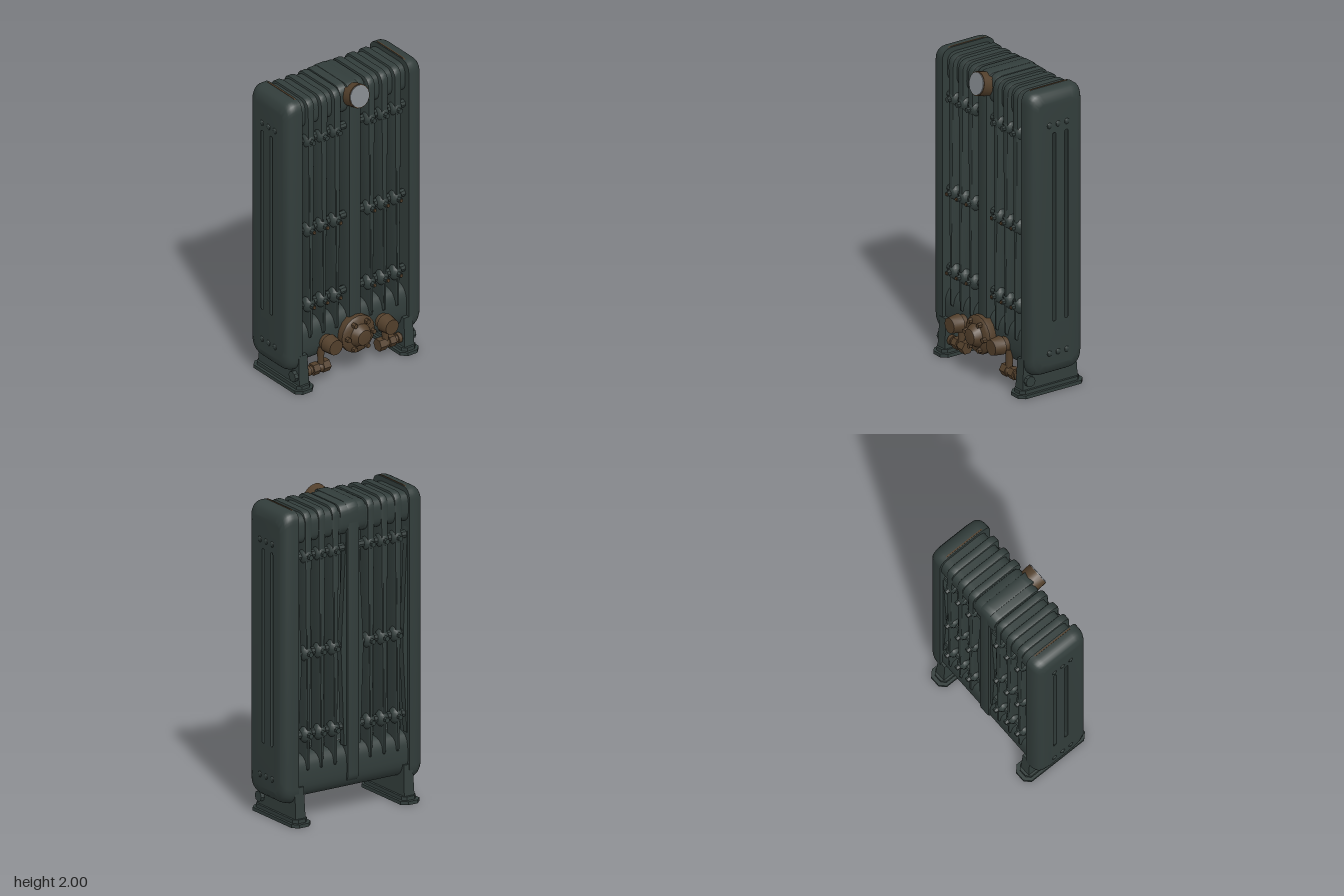
import * as THREE from 'three';
import { toCreasedNormals } from 'three/addons/utils/BufferGeometryUtils.js';

const mat = (name, color) => Object.assign(new THREE.MeshStandardMaterial({ color }), { name });

// Rounded rectangle; a runs from front (-z) to back, b is height
function roundRect(T, a0, b0, a1, b1, rBottom, rTop = rBottom) {
  const s = new T();
  s.moveTo(a0 + rBottom, b0);
  s.lineTo(a1 - rBottom, b0);
  s.quadraticCurveTo(a1, b0, a1, b0 + rBottom);
  s.lineTo(a1, b1 - rTop);
  s.quadraticCurveTo(a1, b1, a1 - rTop, b1);
  s.lineTo(a0 + rTop, b1);
  s.quadraticCurveTo(a0, b1, a0, b1 - rTop);
  s.lineTo(a0, b0 + rBottom);
  s.quadraticCurveTo(a0, b0, a0 + rBottom, b0);
  return s;
}

// Extrude a side profile along x, centred on x = 0
function acrossX(shape, width, bevel = 0, steps = 1) {
  const depth = width - 2 * bevel;
  const g = new THREE.ExtrudeGeometry(shape, {
    depth, steps, curveSegments: 6, bevelEnabled: bevel > 0, bevelThickness: bevel,
    bevelSize: bevel, bevelOffset: -bevel, bevelSegments: 2,
  });
  return g.translate(0, 0, -depth / 2).rotateY(Math.PI / 2);
}

// Section profile with two long slots between three columns
function sectionShape(y0, y1, front, back, rBottom, rTop) {
  const s = roundRect(THREE.Shape, -front, y0, back, y1, rBottom, rTop);
  for (const [a, b] of [[-0.03, 0.005], [0.09, 0.122]])
    s.holes.push(roundRect(THREE.Path, a, 0.44, b, 1.78, 0.015));
  return s;
}

// Move each vertex by a rule
function reshape(g, rule) {
  const p = g.attributes.position, v = new THREE.Vector3();
  for (let i = 0; i < p.count; i++) {
    rule(v.fromBufferAttribute(p, i));
    p.setXYZ(i, v.x, v.y, v.z);
  }
  return g;
}

export function createModel() {
  const iron = mat('castIron', 0x323d3b);
  const bronze = mat('bronze', 0x523f2b);
  const grey = mat('paleMetal', 0x80858a);
  const root = new THREE.Group();
  root.name = 'radiator';

  const add = (name, geo, material, x = 0, y = 0, z = 0, parent = root) => {
    const m = new THREE.Mesh(toCreasedNormals(geo, 0.7), material);
    m.name = name;
    m.position.set(x, y, z);
    parent.add(m);
    return m;
  };
  const cyl = (r0, r1, h, n = 12) => new THREE.CylinderGeometry(r0, r1, h, n);
  const alongZ = (r0, r1, h, n) => cyl(r0, r1, h, n).rotateX(Math.PI / 2);
  const alongX = (r0, r1, h, n) => cyl(r0, r1, h, n).rotateZ(Math.PI / 2);

  // Headers joining all sections
  add('topHeader', acrossX(roundRect(THREE.Shape, -0.135, 1.78, 0.21, 1.97, 0.07), 0.86), iron);
  add('topHeaderCentre', acrossX(roundRect(THREE.Shape, -0.145, 1.79, 0.217, 1.985, 0.07), 0.2, 0.02), iron);
  add('bottomHeader', acrossX(roundRect(THREE.Shape, -0.15, 0.15, 0.205, 0.445, 0.12), 0.86), iron);

  // Inner sections, pinched to a point at the bottom
  const finX = [-0.33, -0.23, -0.13, 0.13, 0.23, 0.33];
  for (const x of finX) {
    const g = acrossX(sectionShape(0.33, 1.985, 0.165, 0.215, 0.03, 0.07), 0.052, 0.01);
    reshape(g, v => { if (v.y < 0.42) v.x *= 0.35; });
    add('innerSection', g, iron, x);
  }
  add('centreSection', acrossX(sectionShape(0.2, 1.99, 0.17, 0.217, 0.06, 0.07), 0.088, 0.012), iron);

  // Widened webs on the back columns
  const web = (name, pts) => add(name, new THREE.ExtrudeGeometry(
    new THREE.Shape(pts.map(p => new THREE.Vector2(...p))),
    { depth: 0.04, bevelEnabled: false }), iron, 0, 0, -0.2);
  web('centreBackWeb', [[-0.06, 0.44], [0.06, 0.44], [0.082, 1.05], [0.045, 1.8], [-0.045, 1.8], [-0.082, 1.05]]);
  web('leftBackWeb', [[0.42, 0.44], [0.42, 1.8], [0.405, 1.75], [0.372, 1.0], [0.4, 0.44]]);
  web('rightBackWeb', [[-0.42, 0.44], [-0.4, 0.44], [-0.372, 1.0], [-0.405, 1.75], [-0.42, 1.8]]);

  // Tie rods with bosses and bolts
  for (const y of [1.7, 1.08, 0.56]) {
    for (const z of [0.115, 0.01, -0.17])
      add('tieRod', alongX(0.026, 0.026, 0.84, 8), iron, 0, y, z);
    for (const x of finX) {
      for (const [z, dir] of [[0.13, 1], [-0.18, -1]]) {
        add('boss', new THREE.SphereGeometry(1, 10, 6).scale(0.042, 0.055, 0.045), iron, x, y, z);
        const brass = dir > 0 && y < 1.5;
        add('boltHead', alongZ(0.017, 0.017, 0.05, 6), iron, x, y, z + dir * 0.038);
        if (brass) add('boltTip', alongZ(0.011, 0.011, 0.008, 6), bronze, x, y, z + 0.066);
      }
    }
  }

  for (const side of [-1, 1]) {
    // End section, its outer face drawn in with a rounded shoulder
    const g = acrossX(sectionShape(0.13, 2, 0.172, 0.222, 0.1, 0.075), 0.11, 0, 8);
    reshape(g, v => {
      const u = Math.min(1, Math.max(0, (side * v.x + 0.02) / 0.075));
      const k = 1 - Math.sqrt(1 - u * u);
      v.y = 1.065 + (v.y - 1.065) * (1 - 0.075 * k);
      v.z = -0.025 + (v.z + 0.025) * (1 - 0.24 * k);
    });
    add('endSection', g, iron, side * 0.46);
    const band = roundRect(THREE.Shape, -0.165, 1.86, 0.213, 2.003, 0.02, 0.08);
    add('seamBand', acrossX(band, 0.008), bronze, side * 0.417);

    // Side bolts
    for (const y of [0.28, 1.78])
      for (const z of [0.04, -0.025, -0.09])
        add('sideBolt', new THREE.SphereGeometry(0.022, 8, 6).scale(0.7, 1, 1), iron, side * 0.508, y, z);

    // Foot: clipped base plate, step and tapered leg
    const foot = new THREE.Group();
    foot.name = 'foot';
    foot.position.x = side * 0.4;
    root.add(foot);
    const plate = (w, zf, zb, c) => new THREE.Shape([
      [-w, -zf + c], [-w + c, -zf], [w - c, -zf], [w, -zf + c],
      [w, zb - c], [w - c, zb], [-w + c, zb], [-w, zb - c],
    ].map(p => new THREE.Vector2(...p)));
    const flat = (shape, h) => new THREE.ExtrudeGeometry(shape, { depth: h, bevelEnabled: false })
      .rotateX(-Math.PI / 2).scale(1, 1, 1);
    // plan y maps to -z, so the front edge is at +z
    add('basePlate', flat(plate(0.07, 0.218, 0.268, 0.035), 0.022), iron, 0, 0, 0, foot);
    add('baseStep', flat(plate(0.052, 0.2, 0.245, 0.025), 0.025), iron, 0, 0.02, 0, foot);
    const leg = reshape(new THREE.BoxGeometry(0.075, 0.2, 0.39), v => {
      if (v.y < 0) v.z *= 1.06;
      else v.x *= 0.85;
    });
    add('leg', leg, iron, 0, 0.14, -0.022, foot);
    add('legBolt', alongX(0.035, 0.035, 0.03, 8), iron, side * 0.045, 0.1, 0.14, foot);

    // Bronze valve: round cap, drop pipe and horizontal union
    const valve = new THREE.Group();
    valve.name = 'valve';
    root.add(valve);
    add('valveNeck', alongZ(0.048, 0.048, 0.08, 12), bronze, side * 0.213, 0.27, 0.16, valve);
    add('valveCap', alongZ(0.05, 0.06, 0.075, 12), bronze, side * 0.213, 0.27, 0.222, valve);
    add('dropPipe', cyl(0.024, 0.02, 0.15, 10), bronze, side * 0.245, 0.17, 0.145, valve);
    add('elbow', new THREE.SphereGeometry(0.036, 10, 8), bronze, side * 0.245, 0.1, 0.14, valve);
    add('unionPipe', alongX(0.026, 0.026, 0.17, 10), bronze, side * 0.285, 0.1, 0.14, valve);
    add('innerNut', alongX(0.042, 0.042, 0.05, 6), bronze, side * 0.215, 0.1, 0.14, valve);
    add('middleNut', alongX(0.04, 0.04, 0.045, 6), bronze, side * 0.29, 0.1, 0.14, valve);
    add('outerNut', alongX(0.034, 0.034, 0.025, 10), bronze, side * 0.345, 0.1, 0.14, valve);
  }

  // Central bottom flange with a ring of bolts and a stepped hub
  const flange = new THREE.Group();
  flange.name = 'flange';
  flange.position.set(0, 0.27, 0);
  root.add(flange);
  const hub = [[0, 0.13], [0.115, 0.13], [0.125, 0.175], [0.125, 0.2], [0.11, 0.215], [0.075, 0.22],
    [0.062, 0.245], [0.05, 0.265], [0.03, 0.268], [0, 0.268]];
  add('flangeHub', new THREE.LatheGeometry(hub.map(p => new THREE.Vector2(...p)), 16)
    .rotateX(Math.PI / 2), bronze, 0, 0, 0, flange);
  for (let i = 0; i < 6; i++) {
    const a = i * Math.PI / 3;
    add('flangeBolt', alongZ(0.016, 0.018, 0.03, 6), bronze, Math.cos(a) * 0.095, Math.sin(a) * 0.095, 0.225, flange);
  }

  // Tilted gauge at the top with a pale face
  const gauge = new THREE.Group();
  gauge.name = 'gauge';
  gauge.position.set(0, 1.925, 0.21);
  gauge.rotation.x = -0.24;
  root.add(gauge);
  add('gaugeBody', alongZ(0.076, 0.076, 0.11, 16), bronze, 0, 0, -0.055, gauge);
  add('gaugeFace', alongZ(0.07, 0.07, 0.006, 16), grey, 0, 0, 0.002, gauge);

  return root;
}
